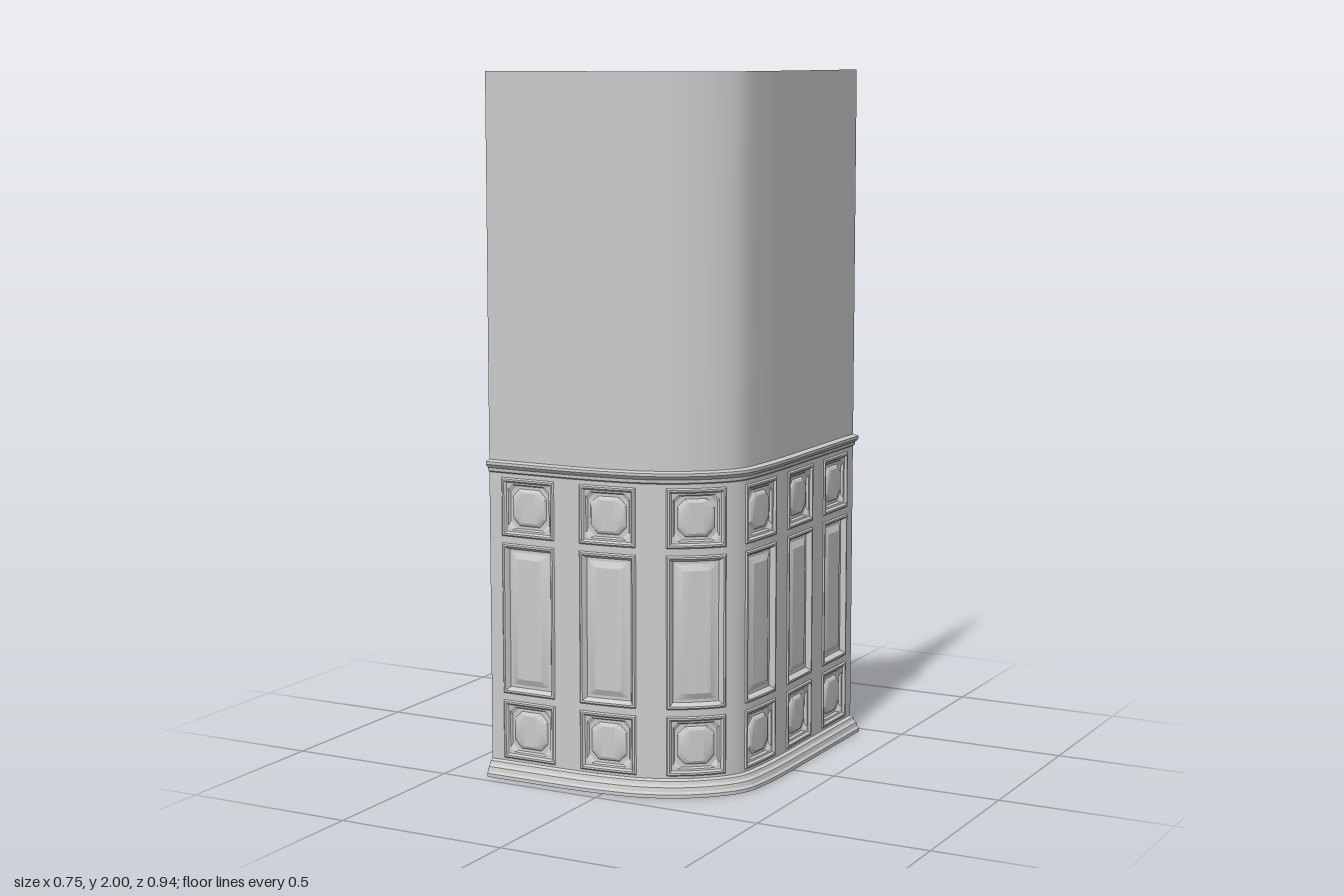
import * as THREE from 'three';
import { toCreasedNormals } from 'three/addons/utils/BufferGeometryUtils.js';

const material = new THREE.MeshStandardMaterial({ color: 0xcccccc, side: THREE.DoubleSide });

// Plan of the wall: two straight legs joined by a rounded corner (x, z)
const plan = new THREE.CatmullRomCurve3([
  [-0.375, 0.438], [-0.24, 0.438], [-0.1, 0.437], [0, 0.43], [0.1, 0.413], [0.2, 0.37],
  [0.28, 0.305], [0.322, 0.243], [0.336, 0.15], [0.341, 0.03], [0.341, -0.15], [0.341, -0.31], [0.341, -0.47],
].map(([x, z]) => new THREE.Vector3(x, 0, z)));
plan.arcLengthDivisions = 600;
const LENGTH = plan.getLength();

// Point at distance s along the wall, height y, pushed outwards by d
function at(s, y, d) {
  const u = THREE.MathUtils.clamp(s / LENGTH, 0, 1);
  const p = plan.getPointAt(u), t = plan.getTangentAt(u);
  return [p.x - t.z * d, y, p.z + t.x * d];
}

// Surface through rows of points, bottom (or outer) row first
function loft(rows) {
  const pos = [];
  for (let j = 0; j < rows.length - 1; j++) {
    for (let i = 0; i < rows[j].length - 1; i++) {
      const a = rows[j][i], b = rows[j][i + 1], c = rows[j + 1][i + 1], d = rows[j + 1][i];
      pos.push(...a, ...b, ...c, ...a, ...c, ...d);
    }
  }
  return pos;
}

function addMesh(parent, name, pos) {
  const g = new THREE.BufferGeometry();
  g.setAttribute('position', new THREE.Float32BufferAttribute(pos, 3));
  const mesh = new THREE.Mesh(toCreasedNormals(g, 0.4), material);
  mesh.name = name;
  parent.add(mesh);
}

// Sweep of a [depth, height] profile along part of the wall
function sweep(s0, s1, profile, n) {
  return loft(profile.map(([d, y]) =>
    Array.from({ length: n + 1 }, (_, i) => at(s0 + (s1 - s0) * i / n, y, d))));
}

const SEG = 8;

// Lower and upper halves of a rectangle outline with cut corners
function outline(s0, s1, y0, y1, inset, cut, d) {
  const a = s0 + inset, b = s1 - inset, lo = y0 + inset, hi = y1 - inset;
  const half = (yEnd, yMid) => {
    const pts = [at(a, yEnd, d)];
    for (let i = 0; i <= SEG; i++) pts.push(at(a + cut + (b - a - 2 * cut) * i / SEG, yMid, d));
    pts.push(at(b, yEnd, d));
    return pts;
  };
  return { bottom: half(lo + cut, lo), top: half(hi - cut, hi) };
}

// Recessed panel with a bead around it and a raised field; rings are [inset, cut, depth]
function panel(s0, s1, y0, y1, rings) {
  const halves = rings.map(([inset, cut, d]) => outline(s0, s1, y0, y1, inset, cut, d));
  const loops = halves.map(h => [...h.bottom, ...[...h.top].reverse(), h.bottom[0]]);
  const last = halves[halves.length - 1];
  return [...loft(loops), ...loft([last.bottom, last.top])];
}

const BEAD = [[0, 0.0002, 0], [0.004, 0.0002, 0.004], [0.009, 0.0002, 0.004], [0.014, 0.0002, -0.003]];
const SQUARE_RINGS = [...BEAD, [0.019, 0.012, -0.004], [0.023, 0.02, -0.011],
  [0.031, 0.022, -0.011], [0.035, 0.022, -0.006], [0.041, 0.021, -0.003]];
const TALL_RINGS = [...BEAD, [0.018, 0.0002, -0.011], [0.026, 0.0002, -0.011], [0.044, 0.0002, -0.003]];

const CENTRES = [0.125, 0.375, 0.63, 0.866, 1.108, 1.353];
const HALF_WIDTH = 0.085;
const LEVELS = [
  { name: 'lowerSquarePanel', y0: 0.055, y1: 0.225, rings: SQUARE_RINGS },
  { name: 'tallPanel', y0: 0.245, y1: 0.68, rings: TALL_RINGS },
  { name: 'upperSquarePanel', y0: 0.7, y1: 0.868, rings: SQUARE_RINGS },
];
const BASE_TOP = 0.048, RAIL_BOTTOM = 0.88, RAIL_TOP = 0.916;

export function createModel() {
  const model = new THREE.Group();
  model.name = 'curvedPanelledWall';

  // Plain upper wall
  addMesh(model, 'upperWall', sweep(0, LENGTH, [[0, RAIL_TOP], [0, 2]], 80));

  // Mouldings
  addMesh(model, 'chairRail', sweep(0, LENGTH, [[0, RAIL_BOTTOM], [0.006, 0.884], [0.007, 0.893],
    [0.013, 0.897], [0.018, 0.904], [0.018, 0.912], [0, RAIL_TOP]], 80));
  addMesh(model, 'baseboard', sweep(0, LENGTH, [[0.03, 0], [0.03, 0.01], [0.024, 0.016],
    [0.021, 0.028], [0.013, 0.034], [0.01, 0.043], [0, BASE_TOP]], 80));

  // Stiles between the panel columns
  const wainscot = new THREE.Group();
  wainscot.name = 'wainscot';
  model.add(wainscot);
  const edges = [0, ...CENTRES.flatMap(c => [c - HALF_WIDTH, c + HALF_WIDTH]), LENGTH];
  for (let i = 0; i < edges.length; i += 2) {
    addMesh(wainscot, 'stile', sweep(edges[i], edges[i + 1], [[0, BASE_TOP], [0, RAIL_BOTTOM]], 4));
  }

  // Panels and the cross rails between them
  const gaps = [BASE_TOP, ...LEVELS.flatMap(l => [l.y0, l.y1]), RAIL_BOTTOM];
  for (const c of CENTRES) {
    const s0 = c - HALF_WIDTH, s1 = c + HALF_WIDTH;
    for (let i = 0; i < gaps.length; i += 2) {
      addMesh(wainscot, 'crossRail', sweep(s0, s1, [[0, gaps[i]], [0, gaps[i + 1]]], SEG));
    }
    for (const { name, y0, y1, rings } of LEVELS) {
      addMesh(wainscot, name, panel(s0, s1, y0, y1, rings));
    }
  }
  return model;
}
